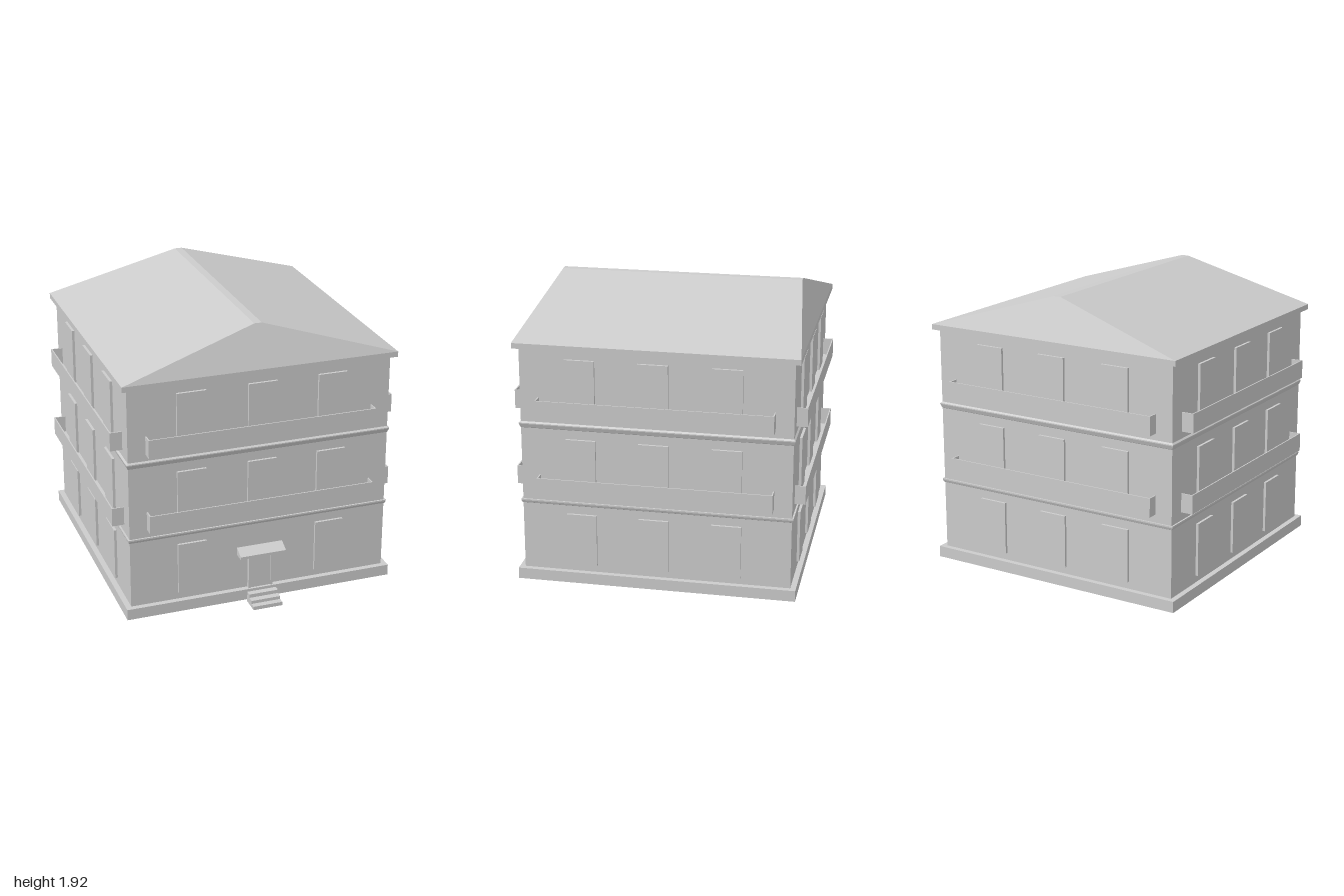
import * as THREE from 'three';

const material = new THREE.MeshStandardMaterial({ color: 0xcccccc, flatShading: true, side: THREE.DoubleSide });

const WALL = 0.885;      // half width of the walls
const EAVE = 0.922;      // half width of plinth and eaves
const CENTRE_Z = -0.045; // the steps push the house back

function add(parent, name, geometry, x = 0, y = 0, z = 0) {
  const mesh = new THREE.Mesh(geometry, material);
  mesh.name = name;
  mesh.position.set(x, y, z);
  parent.add(mesh);
  return mesh;
}

// Box given by its limits on each axis
function block(parent, name, x0, x1, y0, y1, z0, z1) {
  return add(parent, name, new THREE.BoxGeometry(x1 - x0, y1 - y0, z1 - z0),
    (x0 + x1) / 2, (y0 + y1) / 2, (z0 + z1) / 2);
}

// Profile of [half width, height] swept around the square plan
function squareSweep(parent, name, profile) {
  const points = profile.map(([r, y]) => new THREE.Vector2(r * Math.SQRT2, y));
  return add(parent, name, new THREE.LatheGeometry(points, 4, Math.PI / 4));
}

// Open-topped balcony with a thin floor and parapet
function balcony(parent, y, reach) {
  const group = new THREE.Group();
  group.name = 'balcony';
  const half = 0.768, t = 0.008, top = y + 0.125;
  block(group, 'balconyFloor', -half, half, y, y + t, WALL, reach);
  block(group, 'balconyFront', -half, half, y, top, reach - t, reach);
  for (const s of [-1, 1]) {
    const x = s * (half - t / 2);
    block(group, 'balconyEnd', x - t / 2, x + t / 2, y, top, WALL, reach);
  }
  parent.add(group);
}

// One side of the house, facing +z before it is turned
function facade(parent, name, angle, shift, reach, hasDoor) {
  const group = new THREE.Group();
  group.name = name;
  const floors = [[0.14, 0.495], [0.64, 1.013], [1.17, 1.55]];
  floors.forEach(([y0, y1], level) => {
    for (const column of [-1, 0, 1]) {
      if (hasDoor && level === 0 && column === 0) continue;
      const x = column * 0.476 + shift;
      block(group, 'window', x - 0.098, x + 0.098, y0, y1, WALL + 0.001, 0.903);
    }
  });
  balcony(group, 0.632, reach);
  balcony(group, 1.16, reach);
  group.rotation.y = angle;
  parent.add(group);
}

// Hipped roof with a narrow flat ridge and steep front and back hips
function roof(parent) {
  const y0 = 1.648, y1 = 1.917, r = 0.025, z = 0.813;
  const v = [
    -EAVE, y0, EAVE, EAVE, y0, EAVE, EAVE, y0, -EAVE, -EAVE, y0, -EAVE,
    -r, y1, z, r, y1, z, r, y1, -z, -r, y1, -z,
  ];
  const quads = [[0, 1, 5, 4], [1, 2, 6, 5], [2, 3, 7, 6], [3, 0, 4, 7], [4, 5, 6, 7]];
  const geometry = new THREE.BufferGeometry();
  geometry.setAttribute('position', new THREE.Float32BufferAttribute(v, 3));
  geometry.setIndex(quads.flatMap(([a, b, c, d]) => [a, b, c, a, c, d]));
  const flat = geometry.toNonIndexed();
  flat.computeVertexNormals();
  add(parent, 'roof', flat);
}

// Door with frame, sloping canopy and steps
function entrance(parent) {
  const group = new THREE.Group();
  group.name = 'entrance';
  const z = 0.84;
  for (const s of [-1, 1]) {
    const x = s * 0.078;
    block(group, 'doorJamb', x - 0.006, x + 0.006, 0.09, 0.34, z, 0.868);
  }
  block(group, 'doorLintel', -0.084, 0.084, 0.33, 0.342, z, 0.868);
  block(group, 'door', -0.072, 0.072, 0.09, 0.33, z + 0.001, 0.86);

  // Canopy: underside tapers in towards the wall
  const section = [[z, 0.342], [0.868, 0.342], [0.915, 0.342], [0.915, 0.36], [z, 0.395]];
  const shape = new THREE.Shape(section.map(([a, b]) => new THREE.Vector2(-a, b)));
  const canopy = new THREE.ExtrudeGeometry(shape, { depth: 0.316, bevelEnabled: false });
  canopy.translate(0, 0, -0.158);
  canopy.rotateY(Math.PI / 2);
  add(group, 'canopy', canopy);

  // Each step reaches further out the lower it is
  [[0.0, 0.025, 1.0], [0.025, 0.047, 0.96], [0.047, 0.072, 0.917]].forEach(([y0, y1, front]) => {
    block(group, 'step', -0.097, 0.105, y0, y1, 0.876, front);
  });
  parent.add(group);
}

export function createModel() {
  const model = new THREE.Group();
  model.name = 'house';
  const house = new THREE.Group();
  house.name = 'building';
  house.position.z = CENTRE_Z;
  model.add(house);

  // Hollow shell, open at the bottom
  squareSweep(house, 'walls', [[WALL, 0.016], [WALL, 1.612]]);
  squareSweep(house, 'plinth', [[WALL, 0.016], [EAVE, 0.016], [EAVE, 0.091], [WALL, 0.091]]);

  // Mouldings between the storeys
  squareSweep(house, 'lowerMoulding', [[WALL, 0.55], [0.89, 0.553], [0.896, 0.568], [0.896, 0.578], [WALL, 0.578]]);
  squareSweep(house, 'upperMoulding', [[WALL, 1.073], [0.887, 1.076], [0.896, 1.1], [0.896, 1.107], [WALL, 1.116]]);

  squareSweep(house, 'eaves', [[WALL, 1.612], [EAVE, 1.612], [EAVE, 1.648]]);
  roof(house);

  facade(house, 'frontSide', 0, 0.008, 0.955, true);
  facade(house, 'leftSide', Math.PI / 2, -0.013, 0.965, false);
  facade(house, 'backSide', Math.PI, 0, 0.955, false);
  facade(house, 'rightSide', -Math.PI / 2, 0, 0.965, false);

  entrance(model);
  return model;
}
